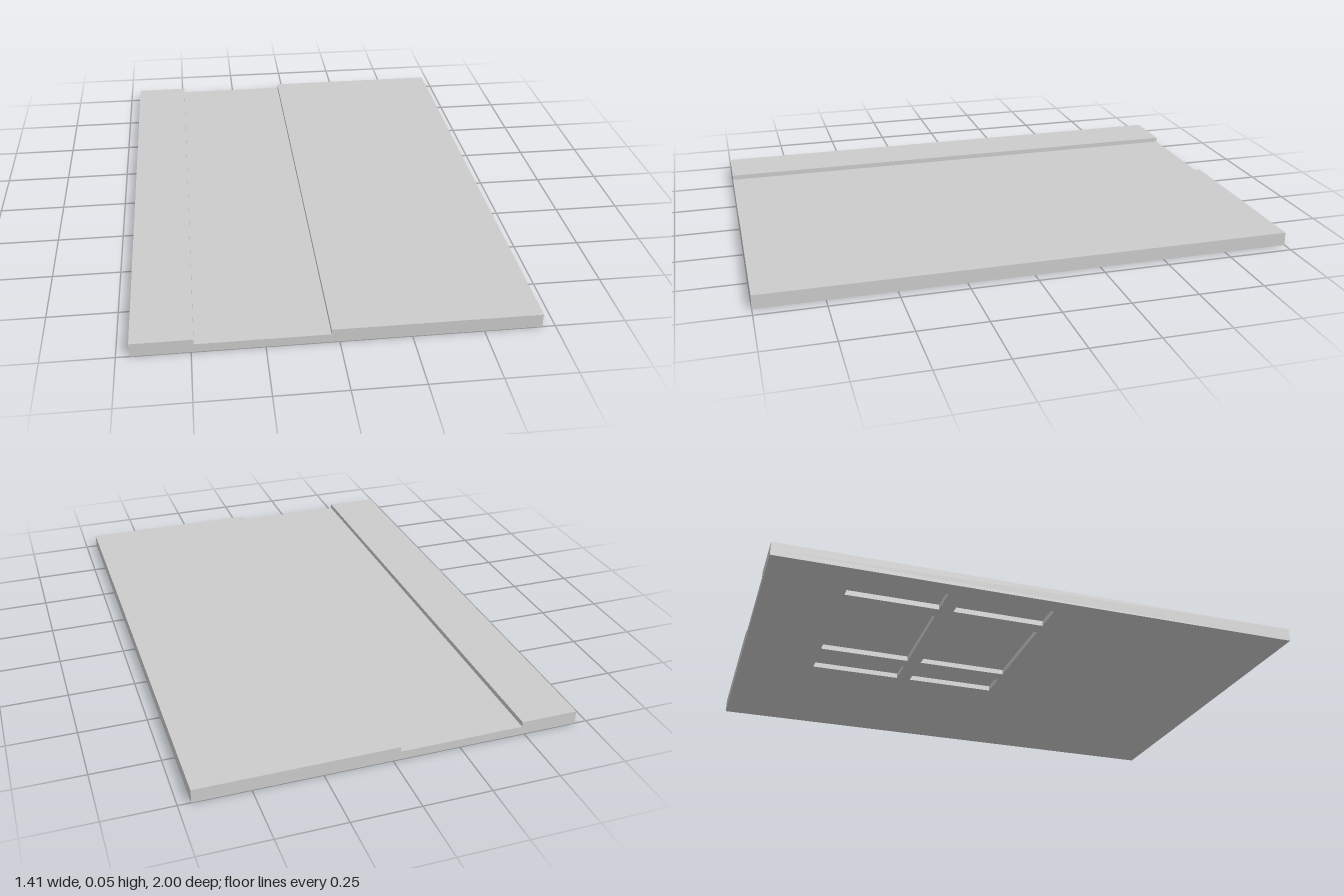
import * as THREE from 'three';

const HALF_W = 0.704, HALF_L = 1, TOP = 0.051, CHANNEL_Y = 0.032, POCKET = 0.02;
const CHANNEL = [-0.49, -0.028];

// Closed outline traced counter-clockwise
function outline(points, Type = THREE.Shape) {
  return new Type(points.map(([x, y]) => new THREE.Vector2(x, y)));
}

function rectangle(x0, x1, y0, y1, Type) {
  return outline([[x0, y0], [x1, y0], [x1, y1], [x0, y1]], Type);
}

export function createModel() {
  const model = new THREE.Group();
  const material = new THREE.MeshStandardMaterial({ color: 0xcccccc, flatShading: true });

  // Upper slab: constant section with a shallow channel along its length
  const section = outline([
    [-HALF_W, POCKET], [HALF_W, POCKET], [HALF_W, TOP], [CHANNEL[1], TOP],
    [CHANNEL[1], CHANNEL_Y], [CHANNEL[0], CHANNEL_Y], [CHANNEL[0], TOP], [-HALF_W, TOP],
  ]);
  const slabGeometry = new THREE.ExtrudeGeometry(section, { depth: 2 * HALF_L, bevelEnabled: false });
  slabGeometry.translate(0, 0, -HALF_L);
  const slab = new THREE.Mesh(slabGeometry, material);
  slab.name = 'channelledSlab';
  model.add(slab);

  // Lower plate: six openings form the shallow pockets in the underside
  const plate = rectangle(-HALF_W, HALF_W, -HALF_L, HALF_L);
  const columns = [[-0.635, -0.515], [-0.46, -0.058], [-0.003, 0.115]];
  const rows = [[-0.71, -0.36], [-0.305, 0.045]];
  for (const [x0, x1] of columns) {
    for (const [z0, z1] of rows) {
      // rotating the plate flat turns shape y into -z
      plate.holes.push(rectangle(x0, x1, -z1, -z0, THREE.Path));
    }
  }
  const plateGeometry = new THREE.ExtrudeGeometry(plate, { depth: POCKET, bevelEnabled: false });
  plateGeometry.rotateX(-Math.PI / 2);
  const base = new THREE.Mesh(plateGeometry, material);
  base.name = 'pocketedBase';
  model.add(base);

  return model;
}
